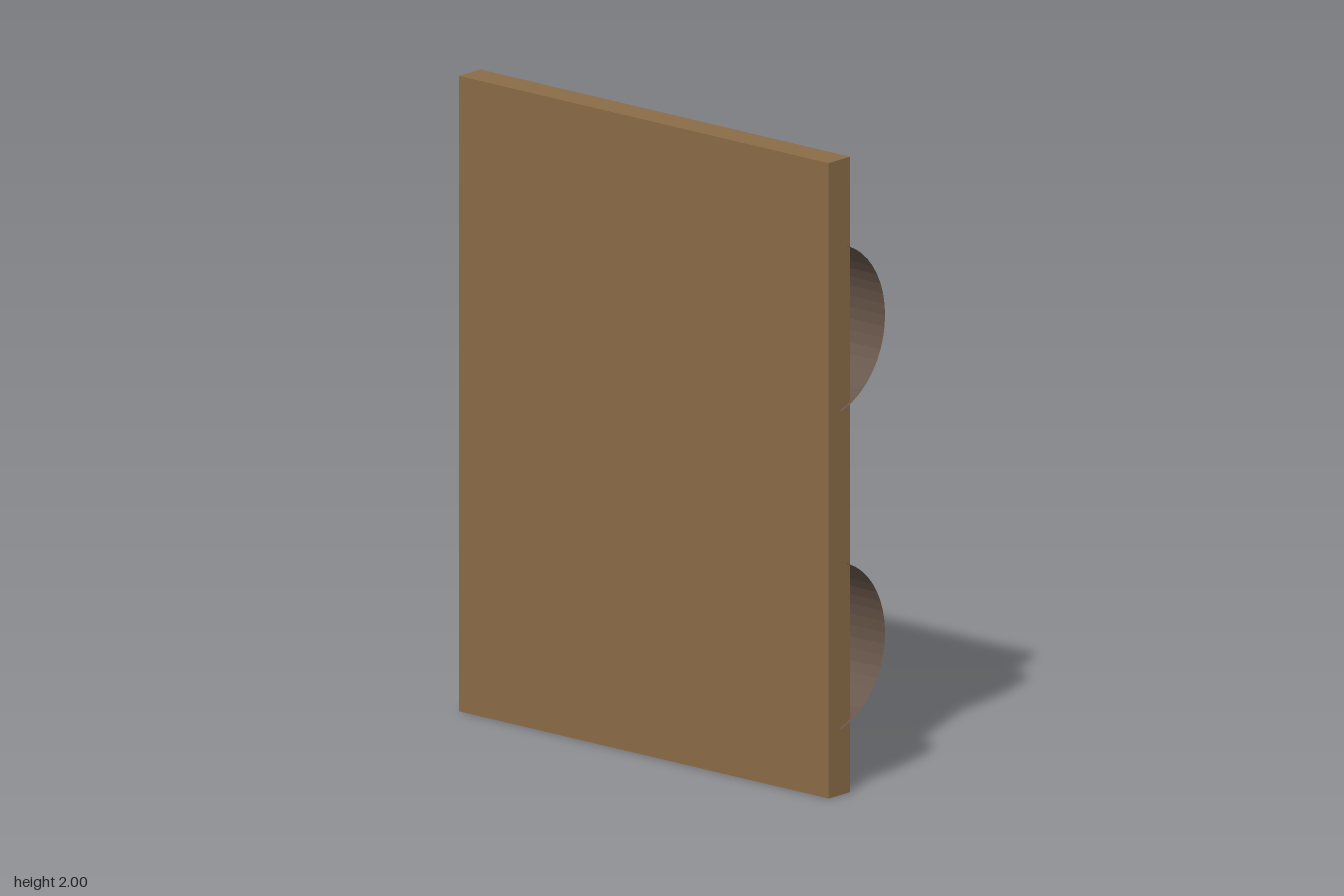
import * as THREE from 'three';

export function createModel() {
  const model = new THREE.Group();
  model.name = 'boardWithCurvedShells';

  const wood = new THREE.MeshStandardMaterial({ color: 0x8b6c47 });
  wood.name = 'wood';
  const bark = new THREE.MeshStandardMaterial({
    color: 0x665448, side: THREE.DoubleSide, flatShading: true,
  });
  bark.name = 'darkBark';

  // Flat upright board
  const board = new THREE.Mesh(new THREE.BoxGeometry(1.5, 2, 0.098), wood);
  board.name = 'board';
  board.position.set(-0.007, 1, 0.074);
  model.add(board);

  // Open curved shells lying across the back, bulging towards -z
  const radius = 0.272;
  const halfAngle = 1.302;
  const shellGeometry = new THREE.CylinderGeometry(
    radius, radius, 1.497, 20, 1, true, Math.PI - halfAngle, 2 * halfAngle);
  shellGeometry.rotateZ(Math.PI / 2);

  [['lowerShell', 0.473], ['upperShell', 1.473]].forEach(([name, y]) => {
    const shell = new THREE.Mesh(shellGeometry, bark);
    shell.name = name;
    shell.position.set(0.004, y, radius - 0.124);
    model.add(shell);
  });

  return model;
}
